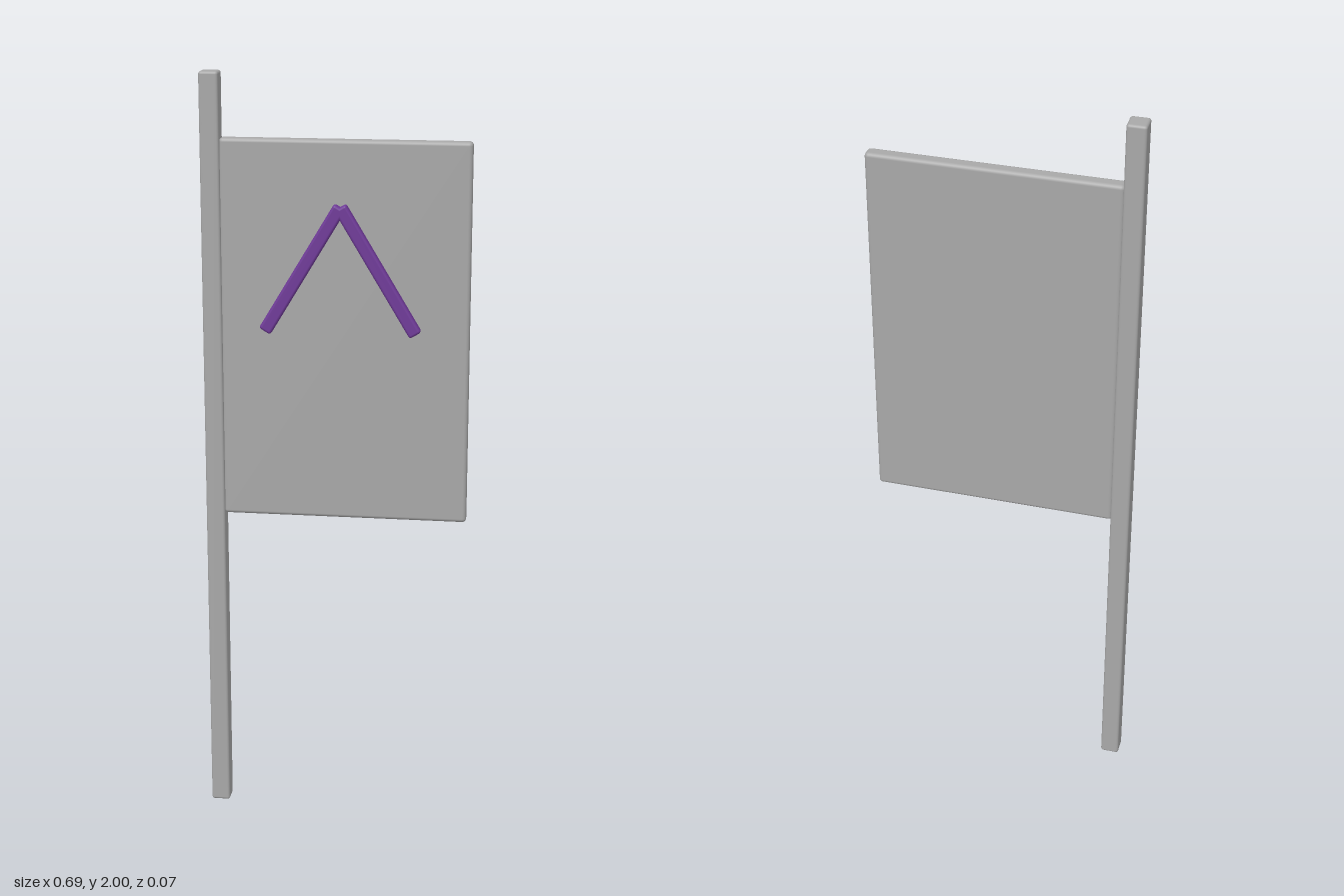
import * as THREE from 'three';
import { RoundedBoxGeometry } from 'three/addons/geometries/RoundedBoxGeometry.js';

export function createModel() {
  const group = new THREE.Group();
  group.name = 'flagSign';
  const grey = new THREE.MeshStandardMaterial({ color: 0xa8a8a8 });
  grey.name = 'grey';
  const purple = new THREE.MeshStandardMaterial({ color: 0x6f3a98 });
  purple.name = 'purple';

  // Softly bevelled block given by its size and centre
  function block(name, size, centre, radius, material) {
    const mesh = new THREE.Mesh(new RoundedBoxGeometry(...size, 3, radius), material);
    mesh.name = name;
    mesh.position.set(...centre);
    group.add(mesh);
    return mesh;
  }

  // Square pole and the panel fixed to its side
  block('pole', [0.05, 2, 0.052], [-0.321, 1, -0.009], 0.007, grey);
  block('panel', [0.642, 0.995, 0.037], [0.023, 1.337, -0.0085], 0.01, grey);

  // Two raised bars meeting at the top as a chevron
  for (const side of [-1, 1]) {
    const name = side < 0 ? 'rightChevronBar' : 'leftChevronBar';
    const bar = block(name, [0.034, 0.378, 0.036], [0.0125 + side * 0.0975, 1.505, 0.013], 0.007, purple);
    bar.rotation.z = side * THREE.MathUtils.degToRad(31);
  }
  return group;
}
